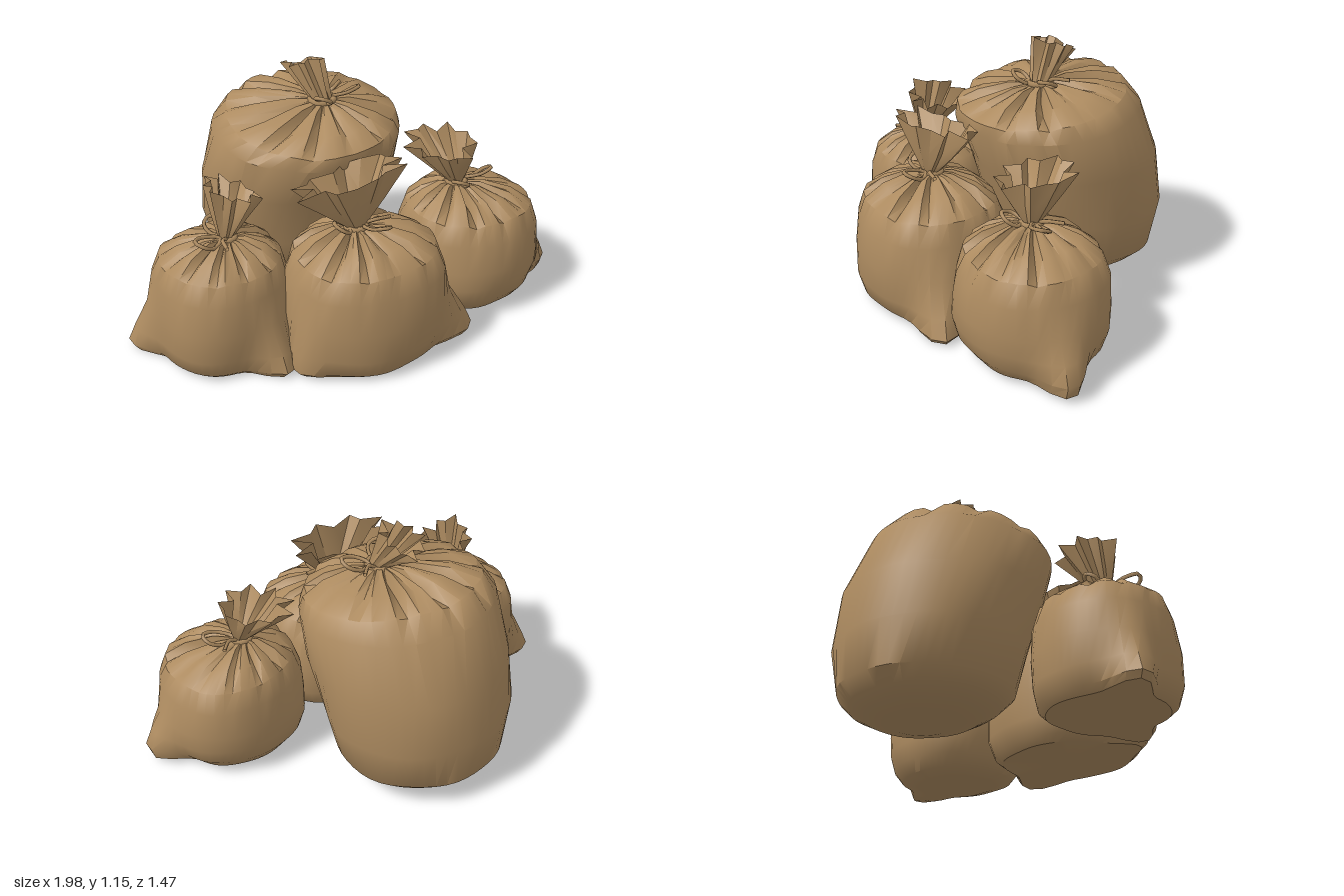
import * as THREE from 'three';
import { toCreasedNormals } from 'three/addons/utils/BufferGeometryUtils.js';

const burlap = new THREE.MeshStandardMaterial({ color: 0xad8b60, side: THREE.DoubleSide });
burlap.name = 'burlap';

const SEG = 48;
const NECK = 0.11;

// Profile points: [height fraction, radius fraction, pleat depth]
const flatFoot = [[0.01, 0], [0.01, 0.82], [0.06, 0.92], [0.2, 0.99], [0.43, 1]];
const softFoot = [[0.015, 0], [0.02, 0.55], [0.06, 0.8], [0.16, 0.93], [0.3, 1], [0.45, 1]];
const roundFoot = [[0.016, 0], [0.02, 0.3], [0.05, 0.56], [0.09, 0.72], [0.15, 0.85], [0.36, 0.95], [0.62, 1]];
const gatheredTop = [[0.68, 0.96], [0.85, 0.87, 0.04], [0.96, 0.62, 0.1], [1.02, 0.3, 0.12], [1, NECK]];

function seeded(seed) {
  return () => {
    seed = (seed * 16807) % 2147483647;
    return seed / 2147483647;
  };
}

// One closed ring of points, from a rule giving the point at each angle
function makeRing(n, rule) {
  return Array.from({ length: n }, (_, i) => rule((i / n) * Math.PI * 2, i));
}

// Skin closed rings of points, listed from the bottom up
function skin(rings, crease) {
  const n = rings[0].length;
  const index = [];
  for (let r = 0; r < rings.length - 1; r++) {
    for (let i = 0; i < n; i++) {
      const a = r * n + i, b = r * n + (i + 1) % n;
      index.push(a, a + n, b, b, a + n, b + n);
    }
  }
  const g = new THREE.BufferGeometry();
  g.setAttribute('position', new THREE.Float32BufferAttribute(rings.flat(2), 3));
  g.setIndex(index);
  return toCreasedNormals(g, crease);
}

function named(name, geometry) {
  const m = new THREE.Mesh(geometry, burlap);
  m.name = name;
  return m;
}

// Sack body: rings that follow the profile and gather into the neck
function bodyGeometry({ base, size, neck, corners, seed, foot }) {
  const rand = seeded(seed);
  const valley = Array.from({ length: SEG }, (_, i) => (i % 4 ? rand() * 0.3 : 0.4 + rand() * 0.9));
  const phase = rand() * 6;
  const [rx, rz, height] = size;
  // the round sack keeps its fullness higher up and leans forward
  const round = foot === roundFoot;
  const power = round ? 2 : 2.25;
  const top = gatheredTop.map(([h, r, p]) => [round ? 1 - (1 - h) * 0.45 : h, r, p]);

  return skin([...foot, ...top].map(([h, fraction, pleat = 0]) => {
    const y = h * height;
    const lean = round ? 0.24 * h * h : 0;
    const tilt = round ? 0.17 * THREE.MathUtils.smoothstep(h, 0.7, 0.97) : 0;
    const pinch = h > 0.8 ? ((1 - fraction) / (1 - NECK)) ** 1.3 : 0;
    const cx = THREE.MathUtils.lerp(base[0], neck[0], pinch);
    const cz = THREE.MathUtils.lerp(base[1] + lean, neck[1], pinch);
    return makeRing(SEG, (t, i) => {
      const squarish = Math.abs(Math.cos(t) / rx) ** power + Math.abs(Math.sin(t) / rz) ** power;
      let r = fraction * squarish ** (-1 / power);
      // gentle dents in the cloth
      r *= 1 + 0.012 * Math.sin(3 * t + phase + y * 9) + 0.01 * Math.sin(7 * t - y * 14 + phase);
      // pinched bottom corners that fade out upwards
      for (const [angle, amount] of corners) {
        const d = Math.atan2(Math.sin(t - angle), Math.cos(t - angle));
        r *= 1 + amount * Math.exp(-((d / 0.27) ** 2)) * Math.max(0, 1 - y / 0.32) ** 1.6;
      }
      r *= 1 - pleat * valley[i];
      const dz = Math.sin(t) * r;
      return [cx + Math.cos(t) * r, y - tilt * dz - pleat * 0.45 * valley[i], cz + dz];
    });
  }), 0.7);
}

// Gathered cloth above the tie: flares from the neck to an open, folded mouth
function ruffleGeometry({ size, neck, mouth, spread, slope, seed }) {
  const rand = seeded(seed + 77);
  const n = 18;
  const fold = Array.from({ length: n }, (_, i) => (i % 2 ? 0.45 + rand() * 0.3 : 0.85 + rand() * 0.17));
  const jag = Array.from({ length: n }, () => rand() - 0.5);
  const { lerp } = THREE.MathUtils;
  return skin([0, 0.15, 0.5, 1].map((k) => makeRing(n, (t, i) => {
    const f = 1 - (1 - fold[i]) * (0.4 + 0.6 * k);
    const dx = Math.cos(t) * lerp(size[0] * NECK, spread[0], k) * f;
    const dz = Math.sin(t) * lerp(size[1] * NECK, spread[1], k) * f;
    return [
      lerp(neck[0], mouth[0], k) + dx,
      lerp(size[2], mouth[1], k) + k * (0.035 * jag[i] + slope[0] * dx + slope[1] * dz),
      lerp(neck[1], mouth[2], k) + dz,
    ];
  })), 0.4);
}

// Cord round the neck with two bow loops and a loose tail
function makeTie({ size, neck, bow }) {
  const r = size[0] * NECK;
  const tie = new THREE.Group();
  tie.name = 'tie';
  tie.position.set(neck[0], size[2], neck[1]);
  const cord = named('cord', new THREE.TorusGeometry(r + 0.004, 0.015, 5, 16));
  cord.rotation.x = Math.PI / 2;
  tie.add(cord);

  const strand = (name, angle, points, closed) => {
    const path = new THREE.CatmullRomCurve3(points.map((p) => new THREE.Vector3(...p)), closed);
    const mesh = named(name, new THREE.TubeGeometry(path, 16, 0.009, 5, closed));
    mesh.rotation.y = -angle;
    tie.add(mesh);
  };
  [0, 1.7].forEach((turn, i) => {
    const reach = 0.17 - 0.05 * i;
    strand('bowLoop', bow + turn, [[r, 0.01, 0], [reach * 0.65, 0.035, 0.035],
      [reach, 0.05, 0.01], [reach * 0.9, 0.03, -0.03], [reach * 0.5, 0, -0.025]], true);
  });
  strand('cordTail', bow - 0.8, [[r, 0.01, 0], [0.08, 0.03, 0.015], [0.15, 0.03, 0]], false);
  return tie;
}

// base and neck are [x, z]; size is [x radius, z radius, neck height];
// corners are [angle, reach]
const sacks = [
  {
    name: 'largeBackSack', seed: 11, foot: roundFoot, base: [-0.01, -0.36], size: [0.455, 0.43, 0.955],
    neck: [0.03, -0.11], mouth: [-0.01, 1.11, -0.21], spread: [0.1, 0.12], slope: [-0.1, 0.3],
    corners: [], bow: 0.35,
  },
  {
    name: 'frontSack', seed: 23, foot: flatFoot, base: [-0.08, 0.41], size: [0.36, 0.32, 0.585],
    neck: [-0.11, 0.38], mouth: [-0.11, 0.81, 0.34], spread: [0.31, 0.15], slope: [0.05, 0.1],
    corners: [[0.42, 0.62], [2.95, 0.3]], bow: 1.2,
  },
  {
    name: 'leftSack', seed: 37, foot: softFoot, base: [0.575, 0.305], size: [0.33, 0.31, 0.57],
    neck: [0.52, 0.27], mouth: [0.47, 0.755, 0.21], spread: [0.18, 0.2], slope: [0.05, 0],
    corners: [[0.2, 0.64]], bow: 0.3,
  },
  {
    name: 'rightSack', seed: 51, foot: flatFoot, base: [-0.62, 0.1], size: [0.295, 0.295, 0.56],
    neck: [-0.6, 0.13], mouth: [-0.55, 0.765, 0.1], spread: [0.13, 0.16], slope: [-0.3, 0],
    corners: [[3.65, 0.64], [1.25, 0.55]], bow: 2.8,
  },
];

export function createModel() {
  const model = new THREE.Group();
  model.name = 'sackPile';
  for (const s of sacks) {
    const sack = new THREE.Group();
    sack.name = s.name;
    sack.add(named('body', bodyGeometry(s)), named('ruffle', ruffleGeometry(s)), makeTie(s));
    model.add(sack);
  }
  return model;
}
